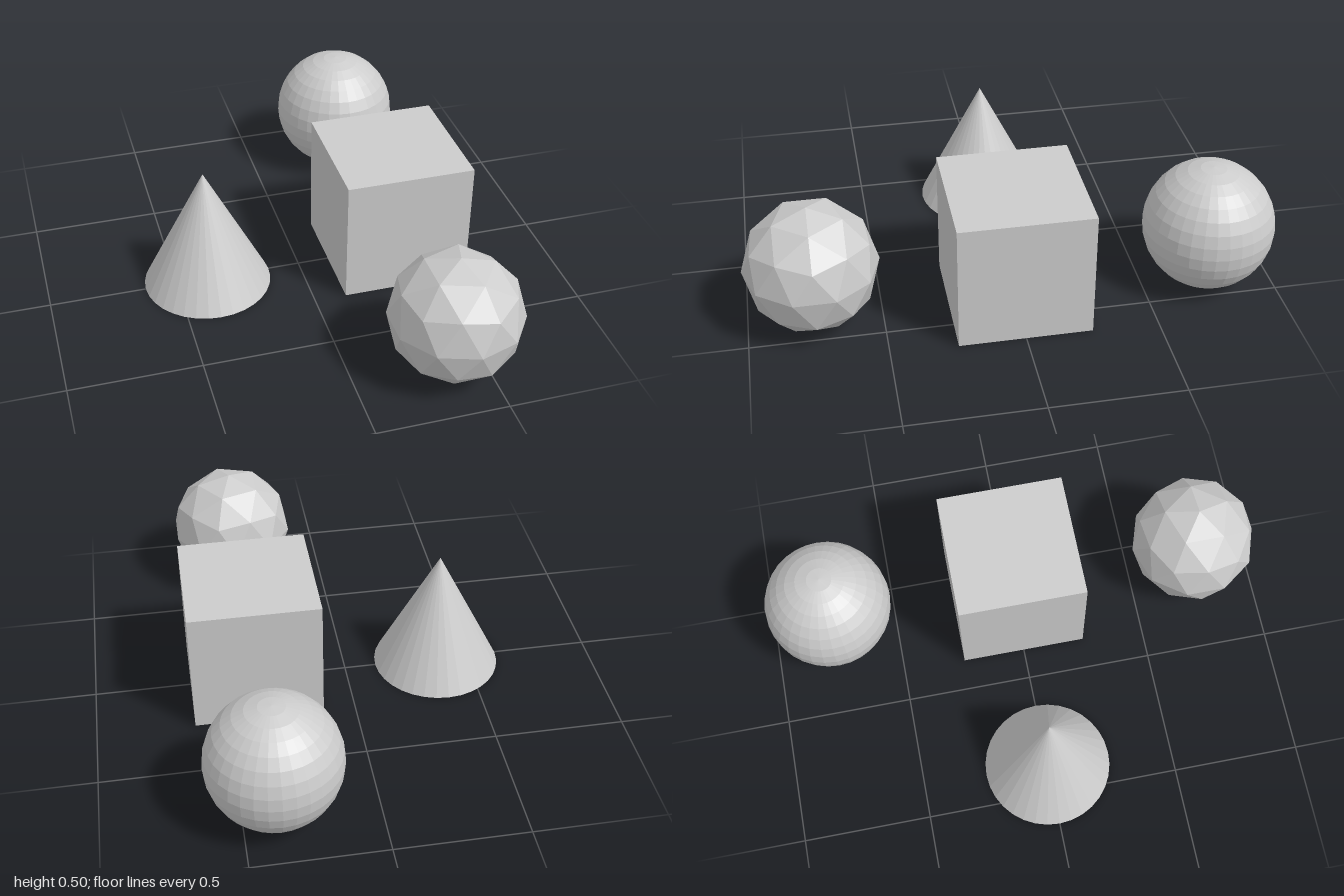
import * as THREE from 'three';

const SIZE = 0.5;
const R = SIZE / 2;

export function createModel() {
  const model = new THREE.Group();
  const material = new THREE.MeshStandardMaterial({ color: 0xcccccc, flatShading: true });

  // Every solid is SIZE tall and rests on the ground
  const place = (name, geometry, x, z) => {
    const mesh = new THREE.Mesh(geometry, material);
    mesh.name = name;
    mesh.position.set(x, R, z);
    model.add(mesh);
  };

  // Faceted ball, turned so that one corner points straight up
  const facetedBall = new THREE.IcosahedronGeometry(R, 1);
  facetedBall.rotateZ(-Math.atan(2 / (1 + Math.sqrt(5))));

  place('cone', new THREE.ConeGeometry(R, SIZE, 32), -0.375, 0);
  place('cube', new THREE.BoxGeometry(SIZE, SIZE, SIZE), 0.375, 0);
  place('sphere', new THREE.SphereGeometry(R, 32, 16), 0.375, -0.75);
  place('facetedBall', facetedBall, 0.375, 0.75);

  return model;
}
